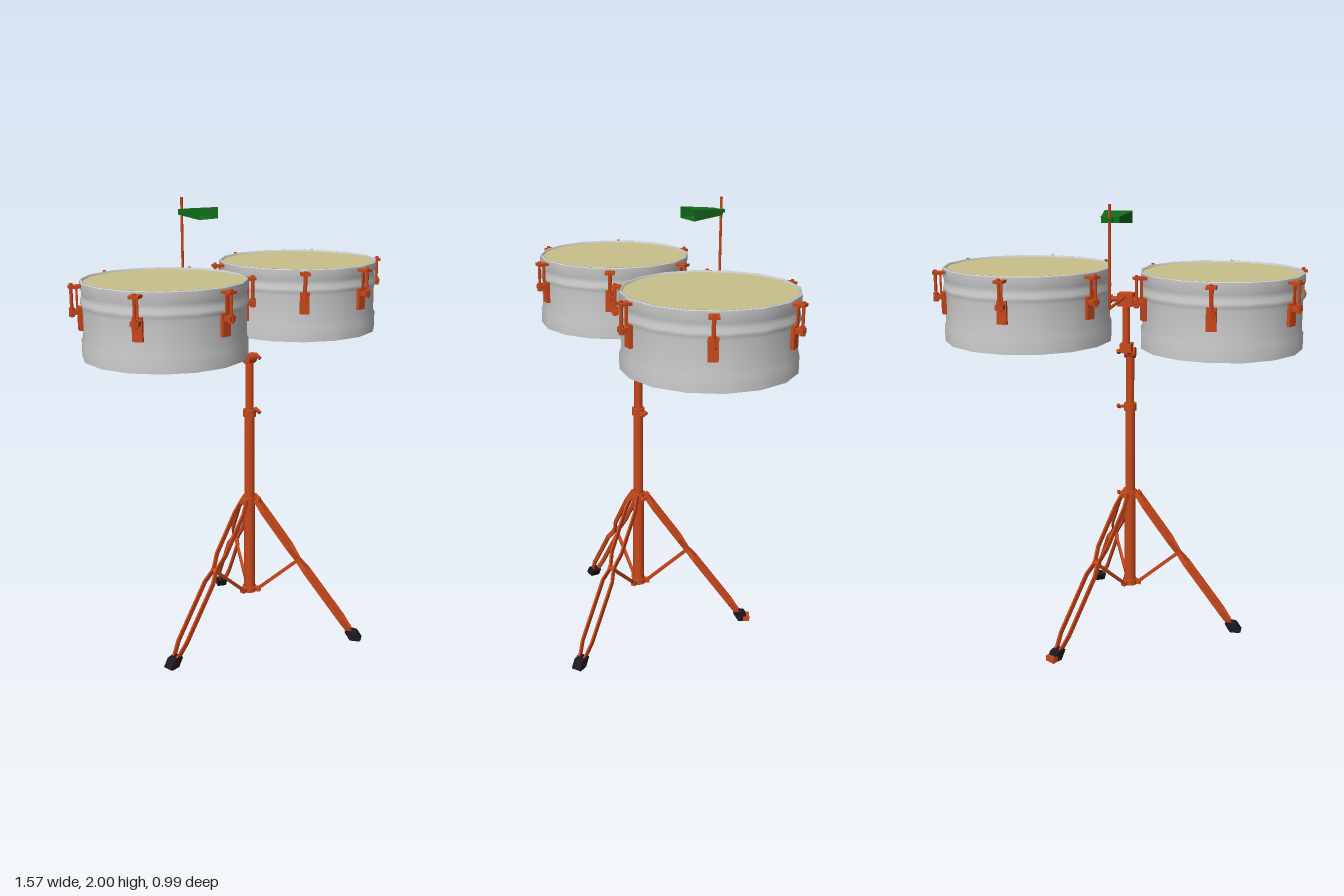
import * as THREE from 'three';
import { toCreasedNormals } from 'three/addons/utils/BufferGeometryUtils.js';

const mat = (color, side = THREE.FrontSide) => new THREE.MeshStandardMaterial({ color, side });
const V = (x, y, z) => new THREE.Vector3(x, y, z);

export function createModel() {
  const copper = mat(0xc8481c), black = mat(0x1c1820), shellMat = mat(0xcccccc, THREE.DoubleSide);
  const skin = mat(0xc8c08a, THREE.DoubleSide), green = mat(0x126b1a, THREE.DoubleSide);
  const root = new THREE.Group();
  root.name = 'timbales';

  const add = (parent, name, geo, material, x = 0, y = 0, z = 0) => {
    const m = new THREE.Mesh(geo, material);
    m.name = name;
    m.position.set(x, y, z);
    parent.add(m);
    return m;
  };
  const group = (parent, name) => {
    const g = new THREE.Group();
    g.name = name;
    parent.add(g);
    return g;
  };
  const box = (parent, name, w, h, d, x, y, z, material = copper) =>
    add(parent, name, new THREE.BoxGeometry(w, h, d), material, x, y, z);
  // round rod between two points
  const rod = (parent, name, a, b, r, sides = 12) => {
    const d = b.clone().sub(a);
    const m = add(parent, name, new THREE.CylinderGeometry(r, r, d.length(), sides), copper);
    m.position.copy(a).add(b).multiplyScalar(0.5);
    m.quaternion.setFromUnitVectors(V(0, 1, 0), d.normalize());
    return m;
  };
  // flat strip between two points, thin across local z
  const strip = (parent, name, a, b, width, thick) => {
    const d = b.clone().sub(a), len = d.length();
    d.normalize();
    const up = V(0, 0, 1).cross(d).normalize(), side = d.clone().cross(up);
    const m = add(parent, name, new THREE.BoxGeometry(len + 0.004, width, thick), copper);
    m.position.copy(a).add(b).multiplyScalar(0.5);
    m.quaternion.setFromRotationMatrix(new THREE.Matrix4().makeBasis(d, up, side));
  };

  // ---- drums ----
  const makeDrum = (name, x, z, R, lugAngles) => {
    const drum = group(root, name);
    drum.position.set(x, 0, z);
    const profile = [[0, 1.39], [0, 1.46], [-0.007, 1.475], [-0.007, 1.595], [0, 1.61], [0, 1.625],
      [-0.006, 1.64], [-0.006, 1.66], [0, 1.675], [0, 1.708]];
    add(drum, 'shell', new THREE.LatheGeometry(profile.map(([o, y]) => new THREE.Vector2(R + o, y)), 16), shellMat);
    const rim = [[0, 1.706], [-0.003, 1.711], [-0.01, 1.711], [-0.012, 1.7]];
    add(drum, 'rim', new THREE.LatheGeometry(rim.map(([o, y]) => new THREE.Vector2(R + o, y)), 16), shellMat);
    const head = add(drum, 'head', new THREE.CircleGeometry(R - 0.01, 16), skin, 0, 1.703, 0);
    head.rotation.x = -Math.PI / 2;
    // tuning lugs
    for (const deg of lugAngles) {
      const lug = group(drum, 'lug');
      lug.rotation.y = THREE.MathUtils.degToRad(deg);
      box(lug, 'lugPlate', 0.016, 0.095, 0.042, R + 0.002, 1.565, 0);
      box(lug, 'lugBracket', 0.046, 0.02, 0.034, R + 0.02, 1.592, 0);
      box(lug, 'clawPlate', 0.007, 0.09, 0.016, R + 0.012, 1.652, 0);
      box(lug, 'clawTop', 0.052, 0.012, 0.042, R + 0.018, 1.694, 0);
      rod(lug, 'tensionRod', V(R + 0.034, 1.572, 0), V(R + 0.034, 1.708, 0), 0.007, 8);
      rod(lug, 'tensionNut', V(R + 0.034, 1.574, 0), V(R + 0.034, 1.61, 0), 0.012, 8);
    }
  };
  makeDrum('smallDrum', -0.438, -0.075, 0.347, [30, 90, 150, 210, 270, 330]);
  makeDrum('largeDrum', 0.412, -0.075, 0.369, [30, 90, 150, 225, 270, 330]);

  // ---- stand column ----
  const cx = -0.025, cz = 0.02, tz = -0.07;
  const column = group(root, 'column');
  const post = (name, y0, y1, r, z = cz) => rod(column, name, V(cx, y0, z), V(cx, y1, z), r, 16);
  post('lowerTube', 0.195, 0.665, 0.026);
  post('middleTube', 0.66, 1.07, 0.0225);
  post('upperTube', 1.06, 1.32, 0.0185);
  post('bottomCollar', 0.198, 0.222, 0.033);
  post('legCollar', 0.638, 0.67, 0.032);
  post('middleCollar', 1.055, 1.088, 0.029);
  // wing screws
  for (const y of [0.655, 1.071, 1.323]) {
    rod(column, 'screw', V(cx + 0.015, y, cz), V(cx + 0.055, y, cz), 0.007, 8);
    const wing = box(column, 'wing', 0.012, 0.014, 0.036, cx + 0.053, y, cz);
    wing.rotation.x = 0.5;
  }
  // tilting joint
  rod(column, 'tiltHinge', V(cx - 0.024, 1.322, cz), V(cx + 0.024, 1.322, cz), 0.024, 16);
  rod(column, 'tiltArm', V(cx, 1.322, cz), V(cx, 1.362, tz + 0.01), 0.015);
  box(column, 'tiltClamp', 0.05, 0.038, 0.055, cx, 1.362, tz + 0.005);
  post('topPost', 1.36, 1.57, 0.017, tz);

  // ---- cross bar holding the drums ----
  const holder = group(root, 'drumHolder');
  rod(holder, 'crossBar', V(-0.115, 1.575, tz), V(0.07, 1.575, tz), 0.012);
  box(holder, 'tBlock', 0.066, 0.056, 0.062, cx, 1.575, tz);
  for (const s of [-1, 1]) {
    const x = cx + s * 0.068;
    rod(holder, 'mountWasher', V(x - 0.006, 1.575, tz), V(x + 0.006, 1.575, tz), 0.018);
  }

  // ---- bell rod and bell ----
  const bell = group(root, 'bell');
  rod(bell, 'bellArm', V(cx, 1.59, tz), V(cx, 1.59, -0.397), 0.006, 8);
  rod(bell, 'bellRod', V(cx, 1.585, -0.397), V(cx, 2, -0.397), 0.006, 8);
  box(bell, 'bellClamp', 0.022, 0.014, 0.035, cx, 1.94, -0.393, green);
  const body = new THREE.CylinderGeometry(Math.SQRT1_2, Math.SQRT1_2, 1, 4, 1, true);
  body.rotateY(Math.PI / 4);
  body.rotateX(Math.PI / 2);
  const p = body.attributes.position;
  // wide open mouth at the front, narrow at the back
  for (let i = 0; i < p.count; i++) {
    const front = p.getZ(i) > 0;
    p.setXYZ(i, p.getX(i) * (front ? 0.116 : 0.076), p.getY(i) * (front ? 0.05 : 0.024), front ? 0.078 : -0.078);
  }
  add(bell, 'bellBody', toCreasedNormals(body, 0.3), green, cx, 1.938, -0.302);
  box(bell, 'bellBack', 0.076, 0.024, 0.003, cx, 1.938, -0.38, green);

  // ---- tripod legs ----
  const footShape = new THREE.Shape([[0.46, 0.04], [0.485, 0], [0.528, 0], [0.536, 0.006], [0.512, 0.042], [0.47, 0.05]]
    .map(([x, y]) => new THREE.Vector2(x, y)));
  const footGeo = new THREE.ExtrudeGeometry(footShape, { depth: 0.044, bevelEnabled: false }).translate(0, 0, -0.022);
  // distance, height and half spacing of the paired strips
  const path = [[0.032, 0.662, 0.014], [0.07, 0.605, 0.026], [0.19, 0.44, 0.026], [0.232, 0.376, 0.009],
    [0.27, 0.328, 0.025], [0.44, 0.1, 0.025], [0.485, 0.035, 0.012]];
  for (const angle of [Math.PI, Math.PI / 3, -Math.PI / 3]) {
    const leg = group(root, 'leg');
    leg.position.set(cx, 0, cz);
    leg.rotation.y = angle;
    for (const s of [-1, 1]) {
      for (let i = 1; i < path.length; i++) {
        const [a, b] = [path[i - 1], path[i]];
        strip(leg, 'legStrip', V(a[0], a[1], a[2] * s), V(b[0], b[1], b[2] * s), 0.022, 0.008);
      }
    }
    strip(leg, 'brace', V(0.04, 0.21, 0), V(0.232, 0.376, 0), 0.014, 0.012);
    rod(leg, 'bracePin', V(0.232, 0.376, -0.017), V(0.232, 0.376, 0.017), 0.011, 8);
    box(leg, 'lowerEar', 0.03, 0.02, 0.022, 0.038, 0.21, 0);
    box(leg, 'upperEar', 0.03, 0.022, 0.026, 0.036, 0.655, 0);
    add(leg, 'foot', footGeo, black);
    // copper tip on the rear leg
    if (angle === Math.PI / 3) box(leg, 'footTip', 0.03, 0.026, 0.046, 0.523, 0.0135, 0);
  }
  return root;
}
